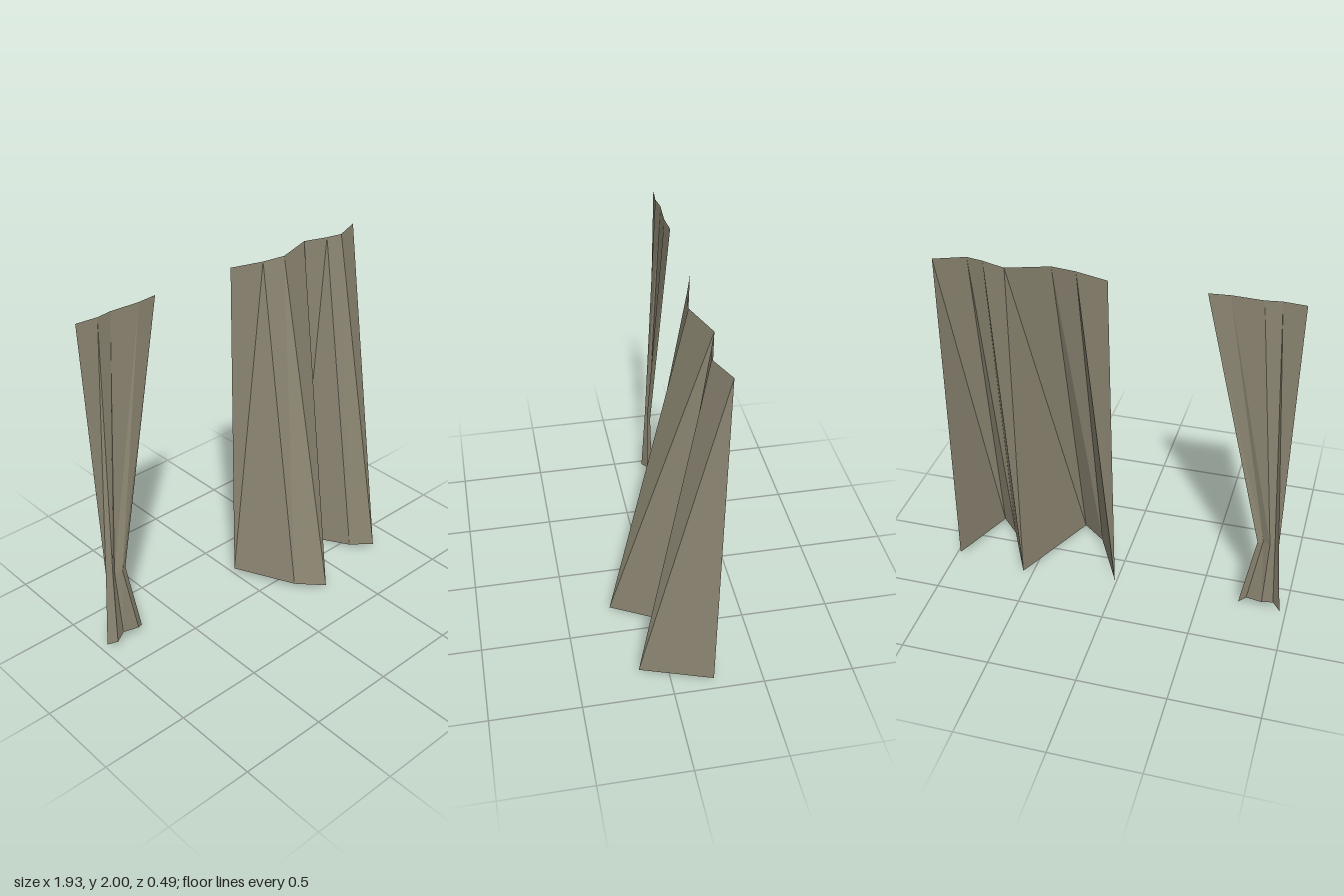
import * as THREE from 'three';

const fabric = new THREE.MeshStandardMaterial({ color: 0x8c8672, side: THREE.DoubleSide, flatShading: true });
fabric.name = 'fabric';

// Lofts a pleated sheet between rows of [x, y, z] points, listed top to bottom.
function pleatedSheet(name, rows) {
  const columns = rows[0].length;
  const index = [];
  for (let r = 0; r < rows.length - 1; r++) {
    for (let c = 0; c < columns - 1; c++) {
      const a = r * columns + c;
      const b = a + columns;
      index.push(a, b, a + 1, a + 1, b, b + 1);
    }
  }
  const indexed = new THREE.BufferGeometry();
  indexed.setAttribute('position', new THREE.Float32BufferAttribute(rows.flat(2), 3));
  indexed.setIndex(index);
  const geometry = indexed.toNonIndexed();
  geometry.computeVertexNormals();
  const mesh = new THREE.Mesh(geometry, fabric);
  mesh.name = name;
  return mesh;
}

// Gives a row of [x, z] points one height.
const level = (y, points) => points.map(([x, z]) => [x, y, z]);

export function createModel() {
  const group = new THREE.Group();
  group.name = 'curtains';

  // Open curtain: two deep pleats that flare forward at the hem
  group.add(pleatedSheet('hangingCurtain', [
    level(2, [[0.02, -0.245], [0.2, -0.19], [0.335, -0.17], [0.558, -0.245],
      [0.69, -0.2], [0.783, -0.18], [0.945, -0.245]]),
    [[0, 0.04, -0.225], [0.175, 0.03, 0.12], [0.317, 0.015, 0.245], [0.56, 0, -0.245],
      [0.715, 0.015, 0.06], [0.82, 0.025, 0.163], [0.963, 0.04, -0.225]],
  ]));

  // Gathered curtain: pinched at the waist, spreading a little at the hem
  group.add(pleatedSheet('gatheredCurtain', [
    level(2, [[-0.96, -0.245], [-0.84, -0.233], [-0.755, -0.245], [-0.59, -0.235], [-0.48, -0.245]]),
    level(0.49, [[-0.93, -0.22], [-0.905, -0.19], [-0.88, -0.21], [-0.84, -0.19], [-0.81, -0.205]]),
    [[-0.967, 0.02, -0.21], [-0.922, 0.04, -0.17], [-0.86, 0.055, -0.2],
      [-0.768, 0.05, -0.18], [-0.727, 0.03, -0.205]],
  ]));

  return group;
}
